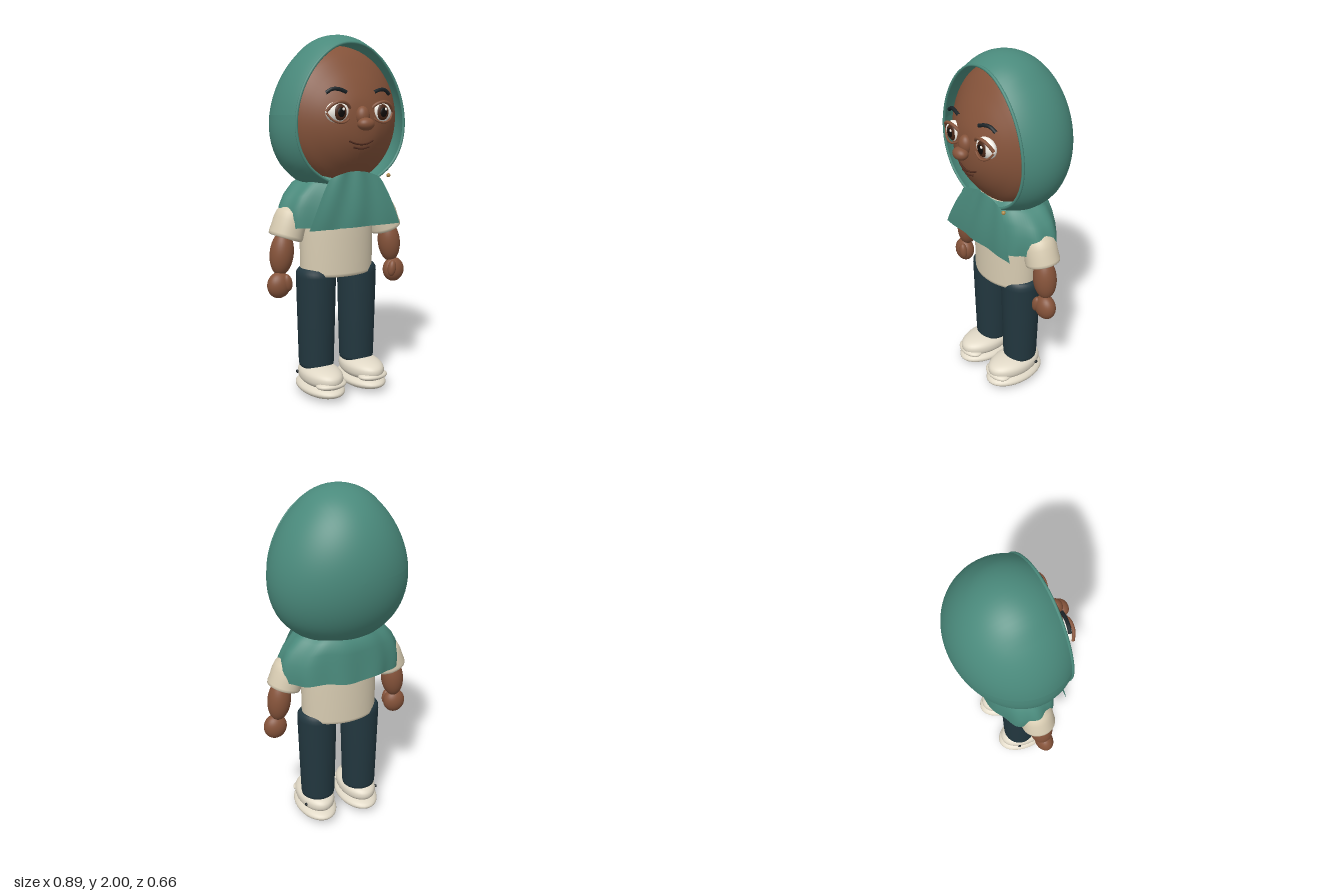
import * as THREE from 'three';

const V = (x, y, z) => new THREE.Vector3(x, y, z);
const TEAL = 0x4a8a7c, SKIN = 0x85533a, SHIRT = 0xd8ccb2, NAVY = 0x22373f,
  SHOE = 0xe0d8c6, WHITE = 0xf2eee6, DARK = 0x1c2428, IRIS = 0x4a2818;

function mesh(name, geo, color, pos = [0, 0, 0], thin = false) {
  const mat = new THREE.MeshStandardMaterial({ color });
  if (thin) mat.side = THREE.DoubleSide;
  const m = new THREE.Mesh(geo, mat);
  m.name = name;
  m.position.set(...pos);
  return m;
}

// Ellipsoid with given radii and optional tilt about z
function ball(name, color, pos, radii, tilt = 0) {
  const m = mesh(name, new THREE.SphereGeometry(1, 32, 20), color, pos);
  m.scale.set(...radii);
  m.rotation.z = tilt;
  return m;
}

function tube(name, color, pts, r) {
  const curve = new THREE.CatmullRomCurve3(pts.map(p => V(...p)));
  return mesh(name, new THREE.TubeGeometry(curve, 28, r, 8), color);
}

// Lathe through [radius, y] points listed from bottom to top
function lathe(name, color, pts, pos) {
  return mesh(name, new THREE.LatheGeometry(pts.map(p => new THREE.Vector2(...p)), 40), color, pos);
}

// Move every vertex by a rule
function warp(geo, rule) {
  const p = geo.attributes.position, v = V(0, 0, 0);
  for (let i = 0; i < p.count; i++) {
    v.fromBufferAttribute(p, i);
    rule(v);
    p.setXYZ(i, v.x, v.y, v.z);
  }
  geo.computeVertexNormals();
  return geo;
}

// Unit sphere point to hood surface: egg shape, narrower at the crown
function hoodShape(v) {
  const y = 1.57 + 0.43 * v.y;
  const taper = 1 - 0.36 * (y - 1.55) + (y > 1.9 ? (y - 1.9) * 0.8 : 0);
  v.set(v.x * 0.385 * Math.min(taper, 1.09), y, v.z * 0.33);
}

function buildHood() {
  const g = new THREE.Group();
  g.name = 'hood';
  const cut = Math.acos(0.157 / 0.33);
  const shell = new THREE.SphereGeometry(1, 64, 40, 0, Math.PI * 2, cut, Math.PI - cut).rotateX(Math.PI / 2);
  g.add(mesh('hoodShell', warp(shell, hoodShape), TEAL, [0, 0, 0], true));
  // Hem around the face opening
  const loop = [];
  for (let i = 0; i < 48; i++) {
    const a = i / 48 * Math.PI * 2;
    const p = V(Math.cos(a) * Math.sin(cut), Math.sin(a) * Math.sin(cut), Math.cos(cut));
    hoodShape(p);
    loop.push(p);
  }
  g.add(mesh('hoodHem', new THREE.TubeGeometry(new THREE.CatmullRomCurve3(loop, true), 96, 0.008, 8, true), TEAL));

  // Shoulder cape: wavy elliptical shell, rings of [y, rx, rz]
  const rings = [[0.97, 0.355, 0.206], [1.02, 0.36, 0.202], [1.08, 0.35, 0.198],
    [1.14, 0.32, 0.194], [1.2, 0.265, 0.188], [1.24, 0.2, 0.15]];
  const cape = new THREE.CylinderGeometry(1, 1, 5, 96, 5, true);
  warp(cape, v => {
    const k = Math.round(v.y + 2.5), [y, rx, rz] = rings[k];
    const a = Math.atan2(v.x, v.z), fold = 1 + 0.025 * Math.sin(a * 11) * (1 - k / 6);
    v.set(v.x * rx * fold, y + 0.006 * Math.cos(a * 7), v.z * rz * fold - 0.01);
  });
  g.add(mesh('shoulderCape', cape, TEAL, [0, 0, 0], true));

  // Front drape flaring to two corners
  const drape = new THREE.PlaneGeometry(2, 1, 32, 20);
  warp(drape, v => {
    const t = 0.5 - v.y, s = v.x;
    const half = 0.155 + 0.135 * Math.pow(t, 0.8);
    const y = 1.27 - 0.3 * t - 0.035 * s * s * (1 - t);
    const fold = 0.005 * Math.sin(s * 8 + t * 2) * (1 - s * s);
    v.set(0.015 * (1 - t) + s * half, y, 0.17 + 0.034 * Math.sin(t * Math.PI / 2) - 0.006 * s * s + fold);
  });
  g.add(mesh('frontDrape', drape, TEAL, [0, 0, 0], true));
  g.add(ball('scarfPin', 0xb08a4a, [0.22, 1.24, 0.185], [0.011, 0.011, 0.011]));
  return g;
}

function buildHead() {
  const g = new THREE.Group();
  g.name = 'head';
  // Round skull, face bulging forward and slightly down
  const profile = new THREE.SplineCurve([[0, -0.25], [0.2, -0.2], [0.32, -0.1], [0.352, 0.02],
    [0.322, 0.1], [0.25, 0.165], [0.18, 0.212], [0.1, 0.247], [0, 0.26]].map(p => new THREE.Vector2(...p)));
  const pts = profile.getPoints(32);
  pts[0].x = pts[32].x = 0;
  const skull = new THREE.LatheGeometry(pts, 56).rotateX(Math.PI / 2);
  warp(skull, v => { v.y = 1.57 + v.y * 1.06 - 0.16 * v.z; });
  g.add(mesh('skull', skull, SKIN));
  g.add(ball('noseBridge', SKIN, [0, 1.565, 0.255], [0.04, 0.052, 0.036]));
  g.add(ball('noseTip', SKIN, [0, 1.524, 0.288], [0.048, 0.034, 0.038]));
  g.add(tube('smile', 0x4f2b1e, [[-0.075, 1.437, 0.242], [-0.04, 1.423, 0.25], [0, 1.418, 0.253],
    [0.04, 1.423, 0.25], [0.075, 1.437, 0.242]], 0.005));
  g.add(tube('lowerLip', 0x4f2b1e, [[-0.05, 1.404, 0.243], [0, 1.395, 0.247], [0.05, 1.404, 0.243]], 0.005));

  for (const s of [1, -1]) {
    const eye = new THREE.Group(), x = 0.132 * s, y = 1.585;
    eye.name = s > 0 ? 'leftEye' : 'rightEye';
    eye.add(ball('eyeWhite', WHITE, [x, y, 0.222], [0.072, 0.056, 0.036]));
    eye.add(ball('iris', IRIS, [x, y, 0.248], [0.038, 0.042, 0.014]));
    eye.add(ball('pupil', 0x100c0a, [x, y, 0.256], [0.023, 0.027, 0.009]));
    eye.add(ball('glint', WHITE, [x + 0.012, y + 0.016, 0.263], [0.008, 0.008, 0.004]));
    for (const [name, up] of [['upperLid', 1], ['lowerLid', -1]]) {
      const lid = [-0.074, -0.045, 0, 0.045, 0.074].map((d, i) =>
        [x + d, y + up * [0.004, 0.04, 0.054, 0.04, 0.004][i], [0.232, 0.25, 0.258, 0.25, 0.232][i]]);
      eye.add(tube(name, SKIN, lid, up > 0 ? 0.009 : 0.006));
    }
    eye.add(tube('eyebrow', DARK, [[0.198 * s, 1.682, 0.212], [0.165 * s, 1.702, 0.22],
      [0.125 * s, 1.702, 0.228], [0.085 * s, 1.688, 0.232]], 0.01));
    g.add(eye);
  }
  return g;
}

function buildArm(s) {
  const g = new THREE.Group();
  g.name = s > 0 ? 'leftArm' : 'rightArm';
  const sleeve = lathe('sleeve', SHIRT, [[0, 0.01], [0.085, 0], [0.094, 0.006], [0.096, 0.02], [0.093, 0.06],
    [0.092, 0.1], [0.084, 0.14], [0.06, 0.172], [0.03, 0.186], [0, 0.19]], [0.33 * s, 0.91, 0]);
  sleeve.rotation.z = 0.32 * s;
  g.add(sleeve);
  g.add(ball('forearm', SKIN, [0.355 * s, 0.83, 0.007], [0.066, 0.122, 0.064], 0.12 * s));
  g.add(ball('hand', SKIN, [0.38 * s, 0.66, 0.02], [0.067, 0.072, 0.052], 0.1 * s));
  g.add(ball('thumb', SKIN, [0.345 * s, 0.675, 0.055], [0.025, 0.048, 0.024], -0.15 * s));
  return g;
}

function buildLeg(s) {
  const g = new THREE.Group();
  g.name = s > 0 ? 'leftLeg' : 'rightLeg';
  g.add(lathe('trouserLeg', NAVY, [[0, 0.155], [0.088, 0.155], [0.097, 0.163], [0.1, 0.18], [0.106, 0.4],
    [0.113, 0.68], [0.111, 0.705], [0.1, 0.722], [0.08, 0.73], [0, 0.732]], [0.135 * s, 0, -0.006]));
  const x = 0.138 * s;
  g.add(ball('shoeSole', SHOE, [x, 0.05, 0.04], [0.118, 0.046, 0.193]));
  // Flattened, boxier upper
  const upper = warp(new THREE.SphereGeometry(1, 40, 24), v => {
    v.y = Math.sign(v.y) * Math.pow(Math.abs(v.y), 0.8);
  });
  const top = mesh('shoeUpper', upper, SHOE, [x, 0.118, 0.043]);
  top.scale.set(0.108, 0.062, 0.178);
  g.add(top);
  g.add(ball('toeStrap', SHOE, [x, 0.095, 0.165], [0.092, 0.026, 0.06]));
  g.add(ball('shoeStud', DARK, [x + 0.094 * s, 0.118, -0.055], [0.008, 0.009, 0.01]));
  return g;
}

export function createModel() {
  const model = new THREE.Group();
  model.name = 'hoodedFigure';
  model.add(buildHood(), buildHead());
  // Shirt body
  const shirt = lathe('shirt', SHIRT, [[0, 0.685], [0.205, 0.685], [0.217, 0.69], [0.221, 0.705], [0.222, 0.9],
    [0.222, 1.06], [0.205, 1.15], [0.15, 1.2], [0, 1.22]], [0, 0, -0.008]);
  shirt.scale.z = 0.685;
  model.add(shirt);
  for (const s of [1, -1]) model.add(buildArm(s), buildLeg(s));
  return model;
}
